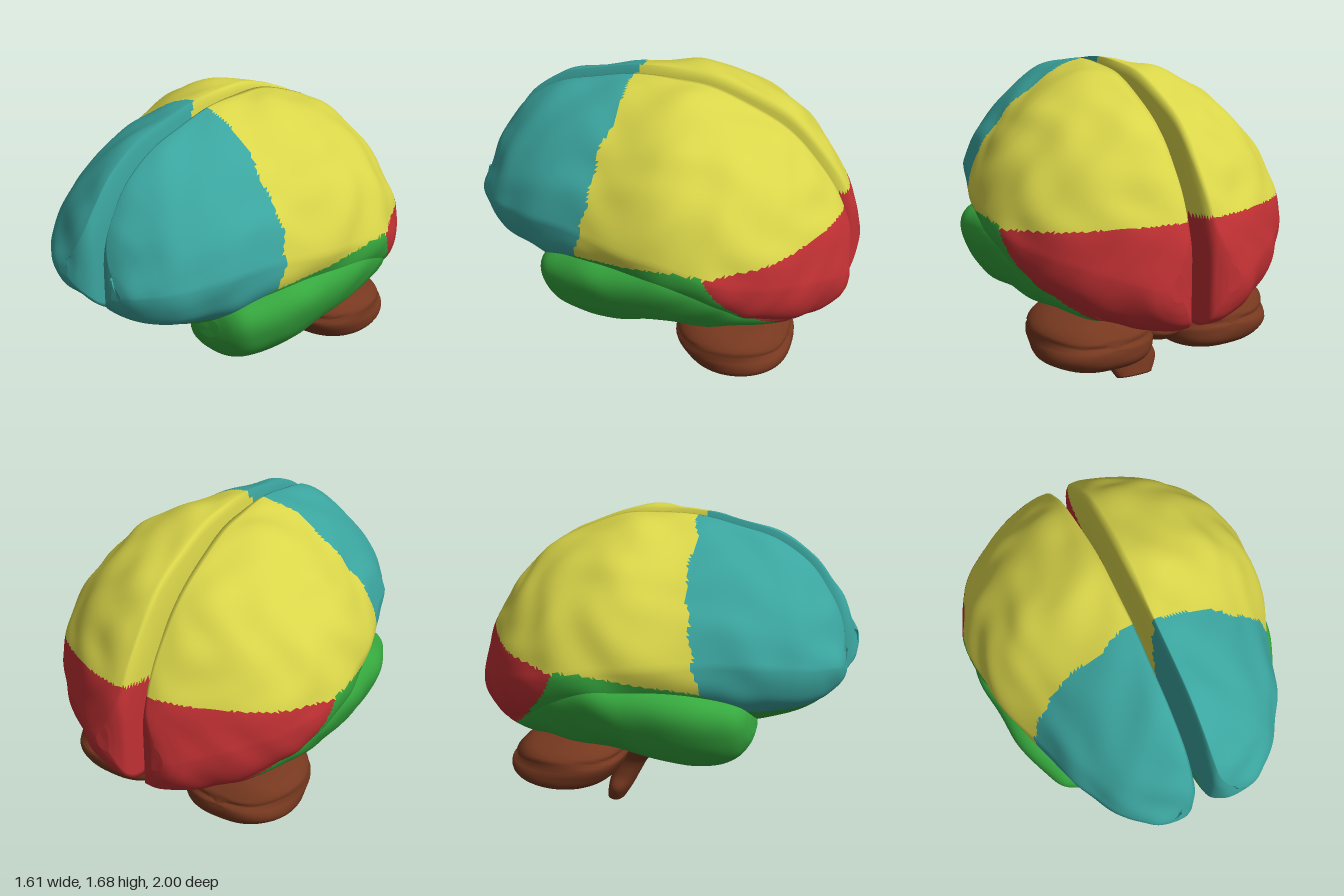
import * as THREE from 'three';

const { lerp, smoothstep } = THREE.MathUtils;
const mat = (name, color) => {
  const m = new THREE.MeshStandardMaterial({ color });
  m.name = name;
  return m;
};

// Smooth interpolation through the rows of a small section table, u in 0..1
function sampleRows(rows, u) {
  const f = u * (rows.length - 1);
  const i = Math.min(Math.floor(f), rows.length - 2);
  const t = f - i;
  const row = k => rows[Math.max(0, Math.min(rows.length - 1, k))];
  return row(i).map((b, c) => {
    const a = row(i - 1)[c], d = row(i + 1)[c], e = row(i + 2)[c];
    return b + 0.5 * t * (d - a + t * (2 * a - 5 * b + 4 * d - e + t * (3 * (b - d) + e - a)));
  });
}

const pow = (v, p) => Math.sign(v) * Math.abs(v) ** p;
const range = (n, f) => Array.from({ length: n }, (_, i) => f(i));

// Closed skin over rings of [x, y, z]; side -1 mirrors it, bump pushes along the normal
function loft(rings, side = 1, bump = null) {
  const n = rings[0].length;
  const cap = ring => {
    const c = [0, 1, 2].map(k => ring.reduce((s, p) => s + p[k], 0) / n);
    return ring.map(() => c);
  };
  const all = [cap(rings[0]), ...rings, cap(rings[rings.length - 1])];
  const pos = all.flat().flatMap(([x, y, z]) => [x * side, y, z]);
  const index = [];
  const tri = (a, b, c) => index.push(a, ...(side > 0 ? [b, c] : [c, b]));
  for (let i = 0; i < all.length - 1; i++) {
    for (let j = 0; j < n; j++) {
      const a = i * n + j, b = i * n + (j + 1) % n;
      if (i > 0) tri(a, b, a + n);
      if (i < all.length - 2) tri(b, b + n, a + n);
    }
  }
  const g = new THREE.BufferGeometry();
  g.setAttribute('position', new THREE.Float32BufferAttribute(pos, 3));
  g.setIndex(index);
  g.computeVertexNormals();
  if (bump) {
    const p = g.attributes.position, m = g.attributes.normal;
    for (let i = n; i < p.count - n; i++) {
      const x = p.getX(i), y = p.getY(i), z = p.getZ(i), d = bump(x, y, z);
      p.setXYZ(i, x + m.getX(i) * d, y + m.getY(i) * d, z + m.getZ(i) * d);
    }
    g.computeVertexNormals();
  }
  return g;
}

// Shallow winding folds of the cortex
function folds(x, y, z) {
  const wx = Math.abs(x) + 0.02 * x;
  const a = Math.sin(15 * z + 7 * y + 2.4 * Math.sin(9 * wx + 5 * y));
  const b = Math.sin(17 * y - 9 * wx + 2.2 * Math.sin(9 * z + 1));
  const c = Math.sin(19 * wx + 8 * z + 2 * Math.sin(11 * y + 4 * z));
  return smoothstep(wx, 0.03, 0.15) * 0.0035 * (a + b + c);
}

// Which lobe a point of the cortex belongs to
const occipitalTop = z => 1 + (-0.36 - z) * 0.15;
function isOccipital(y, z) {
  const d = Math.max(0, 1 - y);
  return y < occipitalTop(z) && z < -0.36 - 0.45 * d - d * d;
}
function temporalTop(z) {
  if (z > 0.35) return 0.79 + Math.max(0, 0.6 - z) * 0.55;
  return z > -0.36 ? Math.min(0.93 + (0.35 - z) * 0.16, 1.02) : occipitalTop(z);
}
function lobeOf(x, y, z) {
  if (isOccipital(y, z)) return 'occipitalLobe';
  if (y < temporalTop(z)) return 'temporalLobe';
  const wave = 0.008 * Math.sin(40 * y) + 0.01 * Math.sin(17 * x);
  return z > 0.35 - (y - 0.92) * 0.2 + wave ? 'frontalLobe' : 'parietalLobe';
}

// Split one skin into a mesh per lobe
function addLobes(group, geometry, classify, mats, suffix) {
  const p = geometry.attributes.position, idx = geometry.index.array, parts = {};
  for (let i = 0; i < idx.length; i += 3) {
    const t = [idx[i], idx[i + 1], idx[i + 2]];
    const mid = f => (f(t[0]) + f(t[1]) + f(t[2])) / 3;
    const name = classify(mid(k => p.getX(k)), mid(k => p.getY(k)), mid(k => p.getZ(k)));
    (parts[name] ??= []).push(...t);
  }
  for (const [name, list] of Object.entries(parts)) {
    const g = new THREE.BufferGeometry();
    g.setAttribute('position', p);
    g.setAttribute('normal', geometry.attributes.normal);
    g.setIndex(list);
    const mesh = new THREE.Mesh(g, mats[name]);
    mesh.name = name + suffix;
    group.add(mesh);
  }
}

// Hemisphere sections: z, inner x, outer x, top, widest height, bottom
const CEREBRUM = [
  [0.995, 0.16, 0.22, 1.04, 1.0, 0.97], [0.98, 0.1, 0.28, 1.12, 1.01, 0.91],
  [0.94, 0.055, 0.34, 1.23, 1.02, 0.85], [0.88, 0.04, 0.41, 1.34, 1.03, 0.79],
  [0.77, 0.032, 0.495, 1.48, 1.05, 0.73], [0.6, 0.03, 0.585, 1.59, 1.07, 0.675],
  [0.4, 0.028, 0.655, 1.645, 1.08, 0.66], [0.2, 0.025, 0.72, 1.685, 1.07, 0.66],
  [0, 0.025, 0.775, 1.69, 1.05, 0.64], [-0.2, 0.025, 0.80, 1.675, 1.03, 0.6],
  [-0.4, 0.03, 0.79, 1.605, 0.98, 0.56], [-0.6, 0.035, 0.71, 1.505, 0.93, 0.53],
  [-0.75, 0.035, 0.59, 1.36, 0.89, 0.51], [-0.87, 0.04, 0.435, 1.2, 0.84, 0.51],
  [-0.95, 0.055, 0.32, 1.04, 0.8, 0.56], [-0.98, 0.09, 0.25, 0.94, 0.78, 0.63],
  [-0.995, 0.13, 0.2, 0.85, 0.78, 0.71],
];
function cerebrumRing([z, xi, xo, top, mid, bottom]) {
  const edge = Math.min(0.025, (xo - xi) / 4); // rounding of the upper inner rim
  const front = smoothstep(z, -0.1, 0.25); // the brow slopes more than the crown
  const pinch = 0.017 * smoothstep(z, -0.4, -0.3) * (1 - smoothstep(z, 0.2, 0.3)); // walls nearly meet
  const arc = range(91, i => {
    const a = Math.PI * i / 90, c = Math.cos(a), s = Math.abs(Math.sin(a));
    if (c <= 0) return [xi + (xo - xi) * s ** 0.8, mid + (mid - bottom) * pow(c, 0.9), z];
    const w = (s ** lerp(1.2, 1.6, front) + (1 - c) ** lerp(0.39, 0.52, front)) / 2;
    return [xi + edge * (1 - s) ** 2 + (xo - xi) * w, mid + (top - mid) * c, z];
  });
  const wall = range(24, i => {
    const t = (i + 1) / 25;
    return [xi + edge * t ** 8 - pinch * (1 - smoothstep(t, 0.56, 0.72)), bottom + (top - bottom) * t, z];
  });
  return [...arc, ...wall];
}

// Temporal bulge sections: z, centre x, half width, centre y, half height
const TEMPORAL = [
  [0.58, 0.41, 0.06, 0.71, 0.05], [0.56, 0.42, 0.13, 0.705, 0.11],
  [0.51, 0.43, 0.19, 0.69, 0.17], [0.4, 0.44, 0.235, 0.685, 0.22],
  [0.22, 0.45, 0.275, 0.7, 0.255], [0, 0.455, 0.3, 0.74, 0.26],
  [-0.2, 0.46, 0.31, 0.77, 0.25], [-0.42, 0.44, 0.29, 0.745, 0.22],
  [-0.6, 0.41, 0.2, 0.68, 0.14], [-0.75, 0.38, 0.1, 0.64, 0.06],
];
const temporalRing = ([z, cx, rx, cy, ry]) => range(72, i => {
  const a = 2 * Math.PI * i / 72;
  const dy = ry * pow(Math.cos(a), 0.88);
  return [cx + rx * pow(Math.sin(a), 0.88) + 0.42 * dy, cy + dy, z];
});

// Brainstem sections from the top down: y, centre z, half width, half depth
const STEM = [
  [0.72, -0.08, 0.12, 0.08], [0.66, -0.07, 0.15, 0.12], [0.56, -0.08, 0.2, 0.15],
  [0.46, -0.1, 0.215, 0.15], [0.38, -0.15, 0.18, 0.12], [0.28, -0.205, 0.13, 0.085],
  [0.18, -0.245, 0.125, 0.07], [0.1, -0.275, 0.145, 0.06], [0.02, -0.305, 0.105, 0.045],
];
const stemRing = ([y, cz, rx, rz]) => range(36, i => {
  const a = 2 * Math.PI * i / 36, dz = rz * pow(Math.sin(a), 0.85);
  return [rx * pow(Math.cos(a), 0.85), y - 0.25 * dz, cz + dz];
});

// Squarish rounded lump, its upper half leaning forward by lean
function blob([cx, cy, cz], [rx, ry, rz], p, lean, side, bump) {
  const rings = range(39, i => {
    const a = Math.PI * (i + 1) / 40, s = Math.sin(a) ** p;
    return range(56, j => {
      const b = 2 * Math.PI * j / 56, dy = ry * s * pow(Math.cos(b), p);
      return [cx + rx * s * pow(Math.sin(b), p), cy + dy, cz + rz * Math.cos(a) + lean * dy];
    });
  });
  return loft(rings, side, bump);
}

// Thin layers and the horizontal cleft of the cerebellum
const folia = (x, y, z) =>
  0.004 * Math.sin(45 * y + 9 * z + 6 * Math.abs(x)) - 0.018 * Math.exp(-(((y - 0.46 - 0.05 * z) / 0.012) ** 2));

export function createModel() {
  const model = new THREE.Group();
  model.name = 'brain';
  const mats = {
    frontalLobe: mat('teal', 0x3ba59f),
    parietalLobe: mat('yellow', 0xdad64a),
    temporalLobe: mat('green', 0x36a83e),
    occipitalLobe: mat('red', 0xc03033),
  };
  const brown = mat('brown', 0x76381f);
  const add = (name, geometry) => {
    const mesh = new THREE.Mesh(geometry, brown);
    mesh.name = name;
    model.add(mesh);
  };

  for (const [side, label] of [[1, 'Left'], [-1, 'Right']]) {
    const half = new THREE.Group();
    half.name = 'hemisphere' + label;
    const skin = loft(range(181, i => cerebrumRing(sampleRows(CEREBRUM, i / 180))), side, folds);
    addLobes(half, skin, lobeOf, mats, label);
    const bulge = loft(range(81, i => temporalRing(sampleRows(TEMPORAL, i / 80))), side, folds);
    addLobes(half, bulge, (x, y, z) => isOccipital(y, z) ? 'occipitalLobe' : 'temporalLobe', mats, 'Bulge' + label);
    model.add(half);
    add('cerebellum' + label, blob([0.345, 0.405, -0.44], [0.325, 0.16, 0.3], 0.75, 0.3, side, folia));
  }

  // Midline parts
  add('cerebellumMiddle', blob([0, 0.46, -0.43], [0.16, 0.14, 0.26], 0.9, 0.3, 1, folia));
  add('brainstem', loft(range(49, i => stemRing(sampleRows(STEM, i / 48)))));
  add('brainstemKnob', blob([0, 0.555, 0.05], [0.115, 0.065, 0.05], 1, 0, 1, null));

  // Bridge between the hemispheres, outlined in z and y
  const outline = [[0.28, 0.76], [0.28, 0.95], [0.15, 1.15], [-0.1, 1.25], [-0.4, 1.2], [-0.64, 1.0],
    [-0.6, 0.85], [-0.25, 0.75], [-0.15, 0.6], [0, 0.6], [0.08, 0.68]];
  const bridge = new THREE.ExtrudeGeometry(
    new THREE.Shape(outline.map(([z, y]) => new THREE.Vector2(z, y))), { depth: 0.08, bevelEnabled: false });
  bridge.translate(0, 0, -0.04).rotateY(-Math.PI / 2);
  add('bridge', bridge);
  return model;
}
